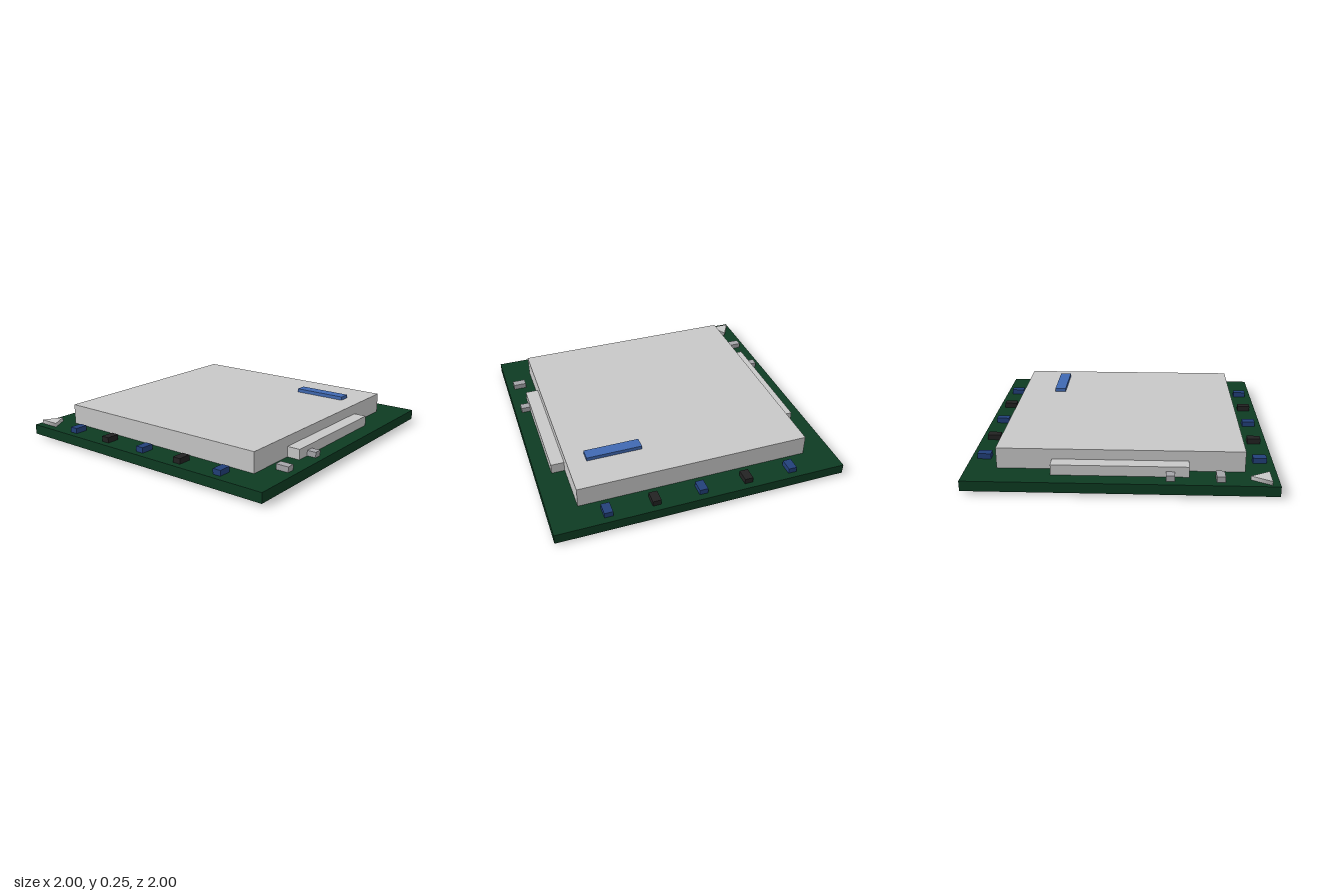
import * as THREE from 'three';

const material = (name, color) => {
  const m = new THREE.MeshStandardMaterial({ color });
  m.name = name;
  return m;
};

export function createModel() {
  const green = material('board green', 0x0d3b22);
  const silver = material('silver', 0xc8c8c8);
  const grey = material('contact grey', 0xa6a6aa);
  const navy = material('chip blue', 0x22407a);
  const black = material('chip black', 0x222222);
  const blue = material('label blue', 0x4069b2);

  const model = new THREE.Group();
  model.name = 'processorPackage';

  // Box standing on height y0 and reaching y1
  function box(name, mat, width, depth, y0, y1, x = 0, z = 0) {
    const mesh = new THREE.Mesh(new THREE.BoxGeometry(width, y1 - y0, depth), mat);
    mesh.name = name;
    mesh.position.set(x, (y0 + y1) / 2, z);
    model.add(mesh);
  }

  const boardTop = 0.085;
  const lidTop = 0.225;

  // Contact plate, circuit board and heat spreader
  box('contactPlate', silver, 1.86, 1.86, 0, 0.016);
  box('board', green, 2, 2, 0.016, boardTop);
  box('lid', silver, 1.6, 1.6, boardTop, lidTop);

  // Raised bar on the lid
  box('labelBar', blue, 0.38, 0.08, lidTop, 0.25, 0.48, -0.515);

  for (const side of [-1, 1]) {
    // Stepped shoulders beside the lid
    box('lidShoulder', silver, 0.09, 0.88, boardTop, 0.155, side * 0.845, 0);

    // Small pads near the front corners
    for (const z of [0.32, 0.635]) {
      box('sidePad', grey, 0.09, 0.055, boardTop, 0.122, side * 0.908, z);
    }

    // Alternating chips along the front and back edges
    for (let i = -2; i <= 2; i++) {
      box('edgeChip', i % 2 ? black : navy, 0.058, 0.09, boardTop, 0.122, i * 0.319, side * 0.91);
    }
  }

  // Triangular corner marker
  const marker = new THREE.Mesh(new THREE.CylinderGeometry(0.084, 0.084, 0.027, 3), silver);
  marker.name = 'cornerMarker';
  marker.rotation.y = Math.PI;
  marker.position.set(-0.91, boardTop + 0.0135, 0.907);
  model.add(marker);

  return model;
}
